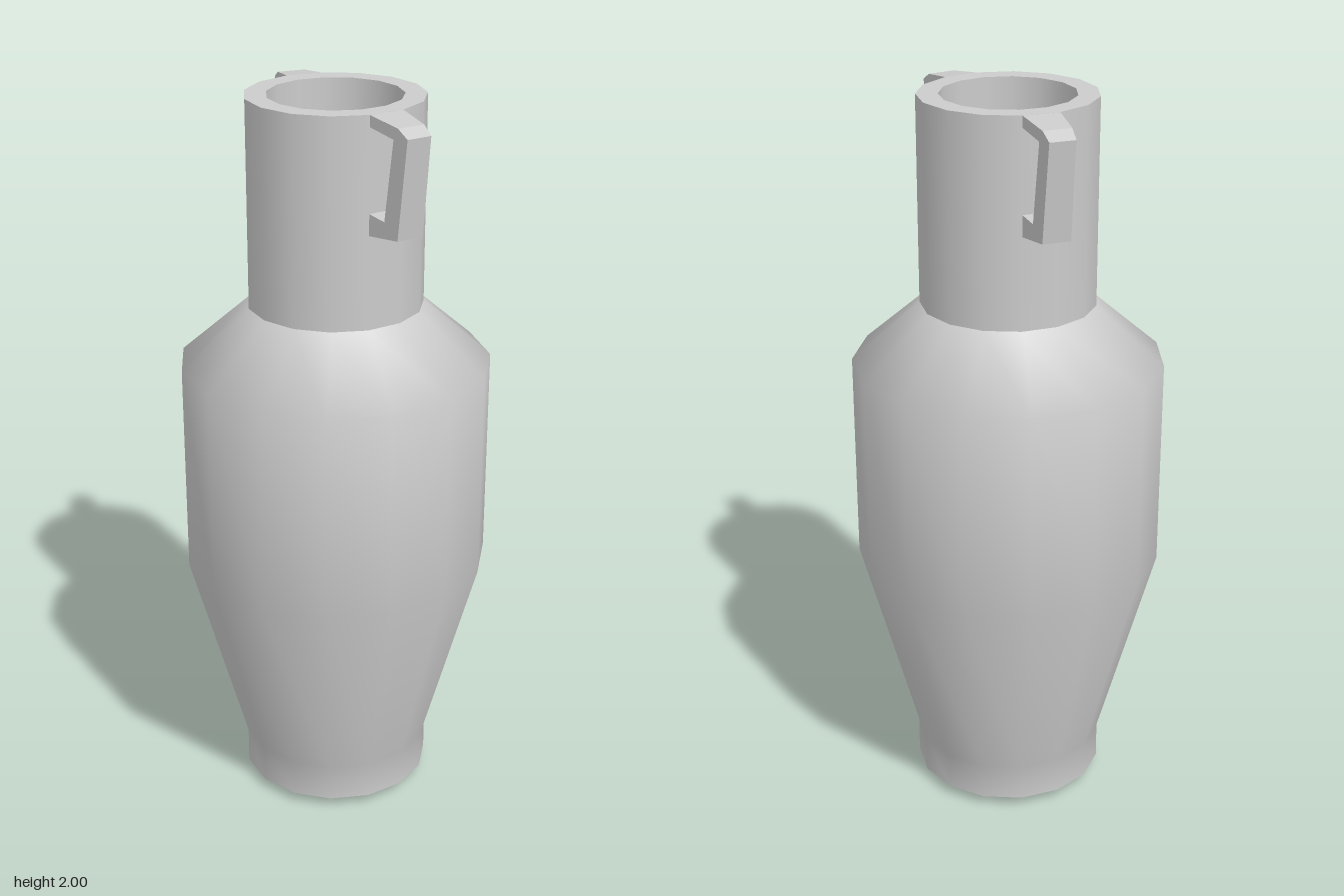
import * as THREE from 'three';

const SIDES = 15;
const STEP = (Math.PI * 2) / SIDES;
const PHASE = THREE.MathUtils.degToRad(-1.4); // angle of the first corner, from +x towards +z

export function createModel() {
  const group = new THREE.Group();
  const material = new THREE.MeshStandardMaterial({ color: 0xcccccc });

  // Each lathe is smooth within itself; separate lathes meet in sharp edges
  function turned(name, profile) {
    const points = profile.map(([r, y]) => new THREE.Vector2(r, y));
    const mesh = new THREE.Mesh(new THREE.LatheGeometry(points, SIDES, Math.PI / 2 - PHASE), material);
    mesh.name = name;
    group.add(mesh);
  }

  turned('base', [[0, 0.005], [0.263, 0.035]]);
  turned('body', [[0.263, 0.035], [0.263, 0.14], [0.419, 0.71], [0.419, 1.285], [0.235, 1.445]]);
  turned('neck', [[0.235, 1.445], [0.235, 2]]);
  turned('rim', [[0.235, 2], [0.178, 2]]);
  turned('neckInside', [[0.178, 2], [0.178, 1.45]]);
  turned('neckFloor', [[0.178, 1.45], [0, 1.45]]);

  // Bracket-shaped handle, tapering from the width of a neck facet to its outer bar
  const outline = [
    [0.228, 2], [0.228, 1.97], [0.317, 1.957], [0.287, 1.745], [0.228, 1.752],
    [0.228, 1.695], [0.337, 1.708], [0.368, 1.967], [0.333, 1.987],
  ];
  const shape = new THREE.Shape(outline.map(([r, y]) => new THREE.Vector2(r, y)));
  const handleGeometry = new THREE.ExtrudeGeometry(shape, { depth: 1, bevelEnabled: false });
  handleGeometry.translate(0, 0, -0.5);
  const position = handleGeometry.attributes.position;
  for (let i = 0; i < position.count; i++) {
    const width = THREE.MathUtils.mapLinear(position.getX(i), 0.228, 0.368, 0.098, 0.069);
    position.setZ(i, position.getZ(i) * width);
  }
  handleGeometry.computeVertexNormals();

  // Handles sit on neck facets 0 and 8, nearly opposite each other
  [['leftHandle', 0], ['rightHandle', 8]].forEach(([name, facet]) => {
    const handle = new THREE.Mesh(handleGeometry, material);
    handle.name = name;
    handle.rotation.y = -(PHASE + (facet + 0.5) * STEP);
    group.add(handle);
  });

  return group;
}
